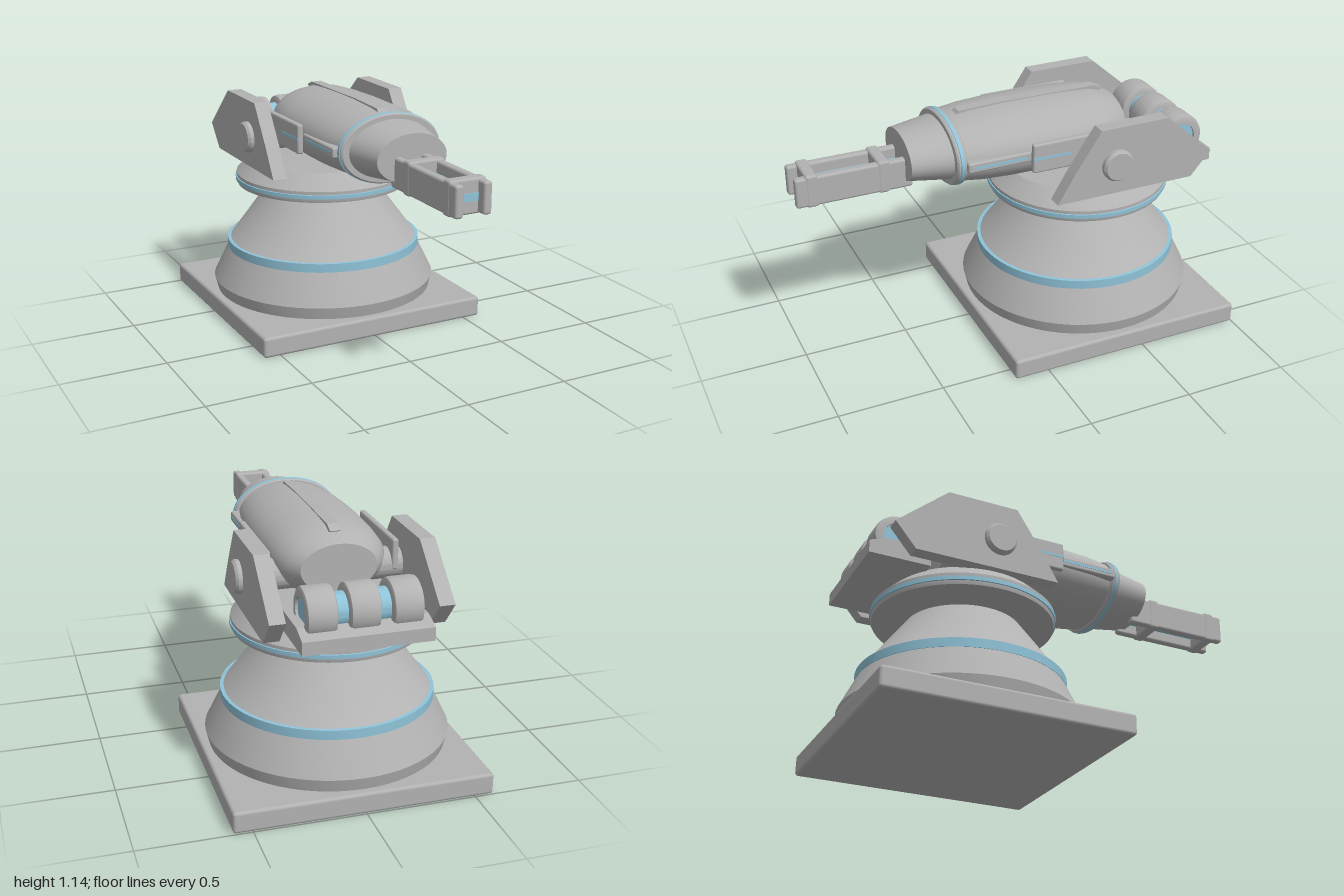
import * as THREE from 'three';
import { toCreasedNormals } from 'three/addons/utils/BufferGeometryUtils.js';
import { RoundedBoxGeometry } from 'three/addons/geometries/RoundedBoxGeometry.js';

const grey = new THREE.MeshStandardMaterial({ color: 0xb2b2b2 });
grey.name = 'greyMetal';
const blue = new THREE.MeshStandardMaterial({ color: 0x8fc3d8 });
blue.name = 'blueAccent';

const PIVOT_Z = -0.415; // turret's vertical axis
const BARREL_Y = 0.968; // barrel's long axis
const FLATTEN = 0.635; // oval ratio of the barrel

export function createModel() {
  const model = new THREE.Group();

  const add = (name, geometry, material, x = 0, y = 0, z = 0) => {
    const mesh = new THREE.Mesh(geometry, material);
    mesh.name = name;
    mesh.position.set(x, y, z);
    model.add(mesh);
    return mesh;
  };
  const lathe = (pts) => new THREE.LatheGeometry(pts.map((p) => new THREE.Vector2(p[0], p[1])), 64);
  const crease = (g) => toCreasedNormals(g, 0.5);

  // Round parts about the vertical axis: [radius, y]
  const turned = (name, pts, material) => add(name, crease(lathe(pts)), material, 0, 0, PIVOT_Z);
  // Oval parts about the barrel axis: [half width, z]
  const oval = (name, pts, material) =>
    add(name, crease(lathe(pts).rotateX(Math.PI / 2).scale(1, FLATTEN, 1)), material, 0, BARREL_Y, 0);
  // Round parts about a crosswise axis: [radius, x]
  const crosswise = (name, pts, material, x, y, z) =>
    add(name, crease(lathe(pts).rotateZ(-Math.PI / 2)), material, x, y, z);
  // Side profile [z, y] extruded across x
  const slab = (name, pts, width, material, x = 0) => {
    const shape = new THREE.Shape(pts.map((p) => new THREE.Vector2(p[0], p[1])));
    const g = new THREE.ExtrudeGeometry(shape, { depth: width, bevelEnabled: false });
    g.translate(0, 0, -width / 2).rotateY(-Math.PI / 2);
    return add(name, g, material, x);
  };
  const box = (name, w, h, d, r, material, x, y, z) =>
    add(name, r ? new RoundedBoxGeometry(w, h, d, 2, r) : new THREE.BoxGeometry(w, h, d), material, x, y, z);

  // Base
  box('basePlate', 1.17, 0.1, 1.17, 0.015, grey, 0, 0.052, PIVOT_Z);
  turned('pedestalSkirt', [[0, 0.1], [0.545, 0.1], [0.56, 0.162], [0.485, 0.317], [0, 0.317]], grey);
  turned('pedestalBand', [[0.48, 0.315], [0.487, 0.317], [0.487, 0.36], [0.468, 0.361]], blue);
  turned('pedestalCone', [[0.48, 0.355], [0.47, 0.361], [0.275, 0.627], [0, 0.627]], grey);

  // Turntable
  turned('turntable', [[0, 0.648], [0.428, 0.648], [0.433, 0.665], [0.433, 0.688], [0.433, 0.703],
    [0.355, 0.775], [0, 0.797]], grey);
  turned('turntableBand', [[0.43, 0.665], [0.438, 0.667], [0.438, 0.686], [0.43, 0.688]], blue);

  // Barrel housing
  oval('barrelHousing', [[0, -0.58], [0.172, -0.58], [0.215, -0.53], [0.25, -0.45], [0.262, -0.33],
    [0.268, -0.15], [0.266, 0], [0.256, 0.15], [0.235, 0.27], [0, 0.27]], grey);
  oval('collar', [[0.2, 0.258], [0.245, 0.258], [0.253, 0.265], [0.253, 0.298], [0.245, 0.306], [0.2, 0.306]], grey);
  oval('collarBand', [[0.25, 0.271], [0.257, 0.274], [0.257, 0.289], [0.25, 0.292]], blue);
  oval('muzzleCone', [[0, 0.3], [0.215, 0.3], [0.175, 0.495], [0, 0.495]], grey);
  slab('topRidge', [[0.25, 1.09], [0.21, 1.136], [0, 1.143], [-0.48, 1.138], [-0.525, 1.118], [-0.45, 1.08]], 0.05, grey);

  // Forked gun
  box('gunCore', 0.1, 0.034, 0.49, 0, blue, 0, 0.91, 0.712);
  for (const z of [0.595, 0.925]) box('gunClamp', 0.18, 0.155, 0.055, 0.012, grey, 0, 0.912, z);

  // Mirrored parts
  for (const s of [-1, 1]) {
    box('gunRail', 0.04, 0.142, 0.54, 0.012, grey, s * 0.068, 0.91, 0.73);
    slab('sideBracket', [[-0.115, 0.765], [-0.195, 0.9], [-0.325, 1.095], [-0.665, 1.095],
      [-0.91, 0.882], [-0.81, 0.765]], 0.07, grey, s * 0.365);
    const cap = crosswise('pivotCap', [[0, -0.02], [0.076, -0.02], [0.076, 0.02], [0.066, 0.032], [0, 0.032]],
      grey, s * 0.398, 0.912, -0.41);
    if (s < 0) cap.rotation.y = Math.PI;
    // Side pod with its guide rail and stripes
    box('sidePod', 0.03, 0.142, 0.45, 0.01, grey, s * 0.292, 0.968, -0.26);
    box('podStripe', 0.006, 0.012, 0.19, 0, blue, s * 0.306, 0.968, -0.13);
    box('sideRail', 0.05, 0.05, 0.32, 0.01, grey, s * 0.25, 0.968, 0.105);
    box('railStripe', 0.006, 0.012, 0.26, 0, blue, s * 0.274, 0.968, 0.11);
  }
  crosswise('pivotAxle', [[0, -0.33], [0.072, -0.33], [0.072, 0.33], [0, 0.33]], grey, 0, 0.91, -0.41);

  // Rear tray with rollers
  slab('rearTray', [[-0.695, 0.765], [-0.695, 0.855], [-0.9, 0.855], [-0.985, 0.825], [-0.985, 0.765]], 0.57, grey);
  crosswise('rollerAxle', [[0, -0.24], [0.075, -0.24], [0.075, 0.24], [0, 0.24]], blue, 0, 0.892, -0.84);
  for (const x of [-0.185, 0, 0.185]) {
    crosswise('roller', [[0.07, -0.067], [0.095, -0.067], [0.108, -0.061], [0.112, -0.048], [0.112, 0.048],
      [0.108, 0.061], [0.095, 0.067], [0.07, 0.067], [0.07, -0.067]], grey, x, 0.892, -0.84);
  }
  return model;
}
